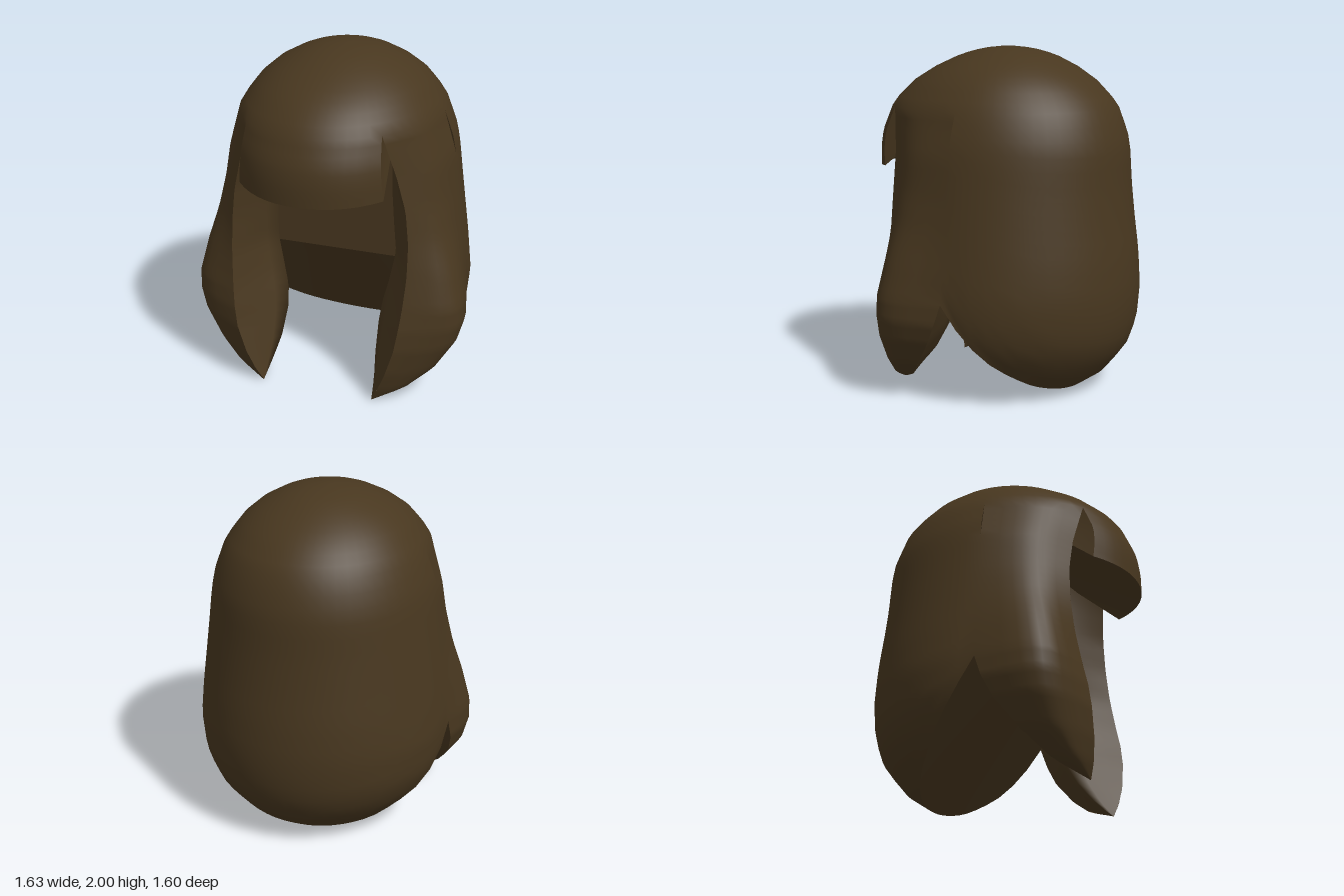
import * as THREE from 'three';
import { mergeGeometries, mergeVertices } from 'three/addons/utils/BufferGeometryUtils.js';

// Head of hair by height: y, half width, depth to the back, depth to the front
const SHELL = [
  [2, 0, 0, 0], [1.995, 0.09, 0.09, 0.09], [1.98, 0.165, 0.175, 0.175], [1.95, 0.26, 0.285, 0.285],
  [1.88, 0.39, 0.42, 0.44], [1.8, 0.485, 0.535, 0.575], [1.7, 0.56, 0.63, 0.685], [1.65, 0.59, 0.665, 0.72],
  [1.5, 0.645, 0.72, 0.785], [1.4, 0.665, 0.735, 0.8], [1.2, 0.69, 0.745, 0.8], [1, 0.715, 0.765, 0.8],
  [0.8, 0.74, 0.79, 0.8], [0.6, 0.76, 0.8, 0.8], [0.4, 0.74, 0.785, 0.8], [0.25, 0.67, 0.735, 0.8],
  [0.1, 0.54, 0.61, 0.8], [0, 0.41, 0.46, 0.8],
];
// Side lock by height: y, then x and z of front crease, widest point, back edge and inner edge
const LOCK = [
  [1.65, 0.39, 0.54, 0.538, 0.296, 0.59, 0, 0.34, 0.15],
  [1.4, 0.46, 0.49, 0.615, 0.28, 0.665, 0, 0.345, 0.19],
  [1.2, 0.51, 0.475, 0.65, 0.28, 0.69, 0, 0.35, 0.2],
  [1, 0.53, 0.48, 0.695, 0.3, 0.715, 0, 0.36, 0.19],
  [0.8, 0.53, 0.5, 0.753, 0.34, 0.74, 0, 0.37, 0.17],
  [0.6, 0.515, 0.535, 0.798, 0.375, 0.76, 0, 0.33, 0.18],
  [0.48, 0.5, 0.56, 0.797, 0.385, 0.77, 0.04, 0.3, 0.2],
  [0.36, 0.48, 0.573, 0.762, 0.395, 0.745, 0.1, 0.29, 0.24],
  [0.2, 0.43, 0.572, 0.66, 0.42, 0.65, 0.23, 0.3, 0.33],
  [0.08, 0.38, 0.555, 0.52, 0.47, 0.5, 0.36, 0.325, 0.43],
  [0, 0.34, 0.53, 0.345, 0.53, 0.345, 0.525, 0.34, 0.525],
];
const SLIT_Y = 1.65, NOTCH_Y = 0.6;
const SLIT_A = Math.acos(0.39 / 0.59);
const lerp = THREE.MathUtils.lerp;

function lookup(table, y) {
  let i = 0;
  while (i < table.length - 2 && y < table[i + 1][0]) i++;
  const [a, b] = [table[i], table[i + 1]];
  const t = THREE.MathUtils.clamp((y - a[0]) / (b[0] - a[0]), 0, 1);
  return a.map((v, k) => lerp(v, b[k], t));
}

// Point on the head of hair; angle runs from the left side towards the front
function shellPoint(y, angle) {
  const [, rx, back, front] = lookup(SHELL, y);
  const s = Math.sin(angle);
  return [rx * Math.cos(angle), y, s * (s > 0 ? front : back)];
}

// Sheet of points: u runs around, v runs down, the face is on the side of u x v
function sheet(nu, nv, point) {
  const pos = [], index = [];
  for (let j = 0; j <= nv; j++) for (let i = 0; i <= nu; i++) pos.push(...point(i / nu, j / nv));
  for (let j = 0; j < nv; j++) for (let i = 0; i < nu; i++) {
    const a = j * (nu + 1) + i, c = a + nu + 1;
    index.push(a, a + 1, c, a + 1, c + 1, c);
  }
  const g = new THREE.BufferGeometry();
  g.setAttribute('position', new THREE.Float32BufferAttribute(pos, 3));
  g.setIndex(index);
  return g;
}
const mirror = (point) => (u, v) => {
  const [x, y, z] = point(1 - u, v);
  return [-x, y, z];
};
function weld(parts) {
  const g = mergeVertices(mergeGeometries(parts), 1e-4);
  g.computeVertexNormals();
  return g;
}

// Hem of the back, curving from the side notch down to the nape
function hemY(angle) {
  let lo = 0, hi = NOTCH_Y;
  for (let i = 0; i < 30; i++) {
    const y = (lo + hi) / 2, z = shellPoint(y, angle)[2];
    if (y > NOTCH_Y + 1.18 * z + 0.8 * z * (z + 0.49)) hi = y; else lo = y;
  }
  return hi;
}

// Rows of a lock: first down to the notch, then on to the tip
const upperY = (v) => lerp(SLIT_Y, NOTCH_Y, v);
const lowerY = (v) => lerp(NOTCH_Y, 0, v);
const lockOuter = (rowY) => (u, v) => {
  const y = rowY(v);
  if (y === SLIT_Y) return shellPoint(y, u * SLIT_A);
  const [, ax, az, mx, mz, bx, bz] = lookup(LOCK, y);
  // weighted curve from the back edge through the widest point to the crease
  const w0 = (1 - u) ** 2, w1 = u * (1 - u), w2 = u * u;
  const bend = (b, m, a) => (b * w0 + (6 * m - a - b) * w1 + a * w2) / (w0 + 4 * w1 + w2);
  return [bend(bx, mx, ax), y, bend(bz, mz, az)];
};
const lockInner = (from, to) => (u, v) => {
  const y = lerp(SLIT_Y, 0, v), row = lookup(LOCK, y);
  return [lerp(row[from], row[to], u), y, lerp(row[from + 1], row[to + 1], u)];
};

// Fringe, narrowing to the tops of the two slits
function fringe(u, v) {
  const hem = 1.285 + 0.06 * (u - 0.5) ** 2;
  const y = lerp(SLIT_Y, hem, v), rx = lookup(SHELL, y)[1];
  const a = Math.acos(lerp(0.39, 0.42, v) / rx);
  const [x, , z] = shellPoint(y, lerp(a, Math.PI - a, u));
  return [x, y, z - 0.03 * v * Math.abs(2 * u - 1) ** 3];
}
const tuckIn = ([x, y, z], t) => [x * lerp(1, 0.85, t), lerp(y, Math.min(y + 0.4, 1.7), t), lerp(z, 0.1, t)];

export function createModel() {
  const group = new THREE.Group();
  const hair = new THREE.MeshStandardMaterial({ color: 0x48371f, side: THREE.DoubleSide });
  const add = (name, parts) => {
    const mesh = new THREE.Mesh(weld(parts), hair);
    mesh.name = name;
    group.add(mesh);
  };

  // Outer hair: crown, back, fringe and the outside of both locks in one smooth skin
  const crown = (a0, a1) => (u, v) => shellPoint(2 - (2 - SLIT_Y) * v * v, lerp(a0, a1, u));
  const back = (u, v) => {
    const angle = lerp(-Math.PI, 0, u);
    return shellPoint(lerp(SLIT_Y, hemY(angle), v), angle);
  };
  add('outerHair', [
    sheet(28, 12, crown(-Math.PI, 0)),
    sheet(8, 12, crown(0, SLIT_A)),
    sheet(14, 12, crown(SLIT_A, Math.PI - SLIT_A)),
    sheet(8, 12, crown(Math.PI - SLIT_A, Math.PI)),
    sheet(28, 20, back),
    sheet(14, 8, fringe),
    ...[upperY, lowerY].flatMap((rowY) => {
      const p = lockOuter(rowY);
      return [sheet(8, 20, p), sheet(8, 20, mirror(p))];
    }),
  ]);

  // Inner faces of the side locks, rounded over the inner edge
  for (const [name, flip] of [['leftLockInside', (p) => p], ['rightLockInside', mirror]]) {
    add(name, [sheet(4, 32, flip(lockInner(1, 7))), sheet(4, 32, flip(lockInner(7, 5)))]);
  }

  // Underside and ends of the fringe, running back to the scalp
  add('fringeUnderside', [sheet(14, 3, (u, v) => tuckIn(fringe(u, 1), v))]);
  const end = (u, v) => tuckIn(fringe(0, v), 1 - u);
  add('fringeLeftEnd', [sheet(3, 8, end)]);
  add('fringeRightEnd', [sheet(3, 8, mirror(end))]);

  // Flat scalp between the locks, and the underside sloping from it to the back hem
  const scalp = (u, v) => [lerp(0.55, -0.55, u), lerp(1.7, 0.73, v), 0.09];
  add('scalp', [sheet(1, 1, scalp)]);
  add('backUnderside', [sheet(28, 6, (u, v) => {
    const angle = -Math.PI * u, hem = shellPoint(hemY(angle), angle);
    return scalp(u, 1).map((c, k) => lerp(c, hem[k], v));
  })]);
  return group;
}
